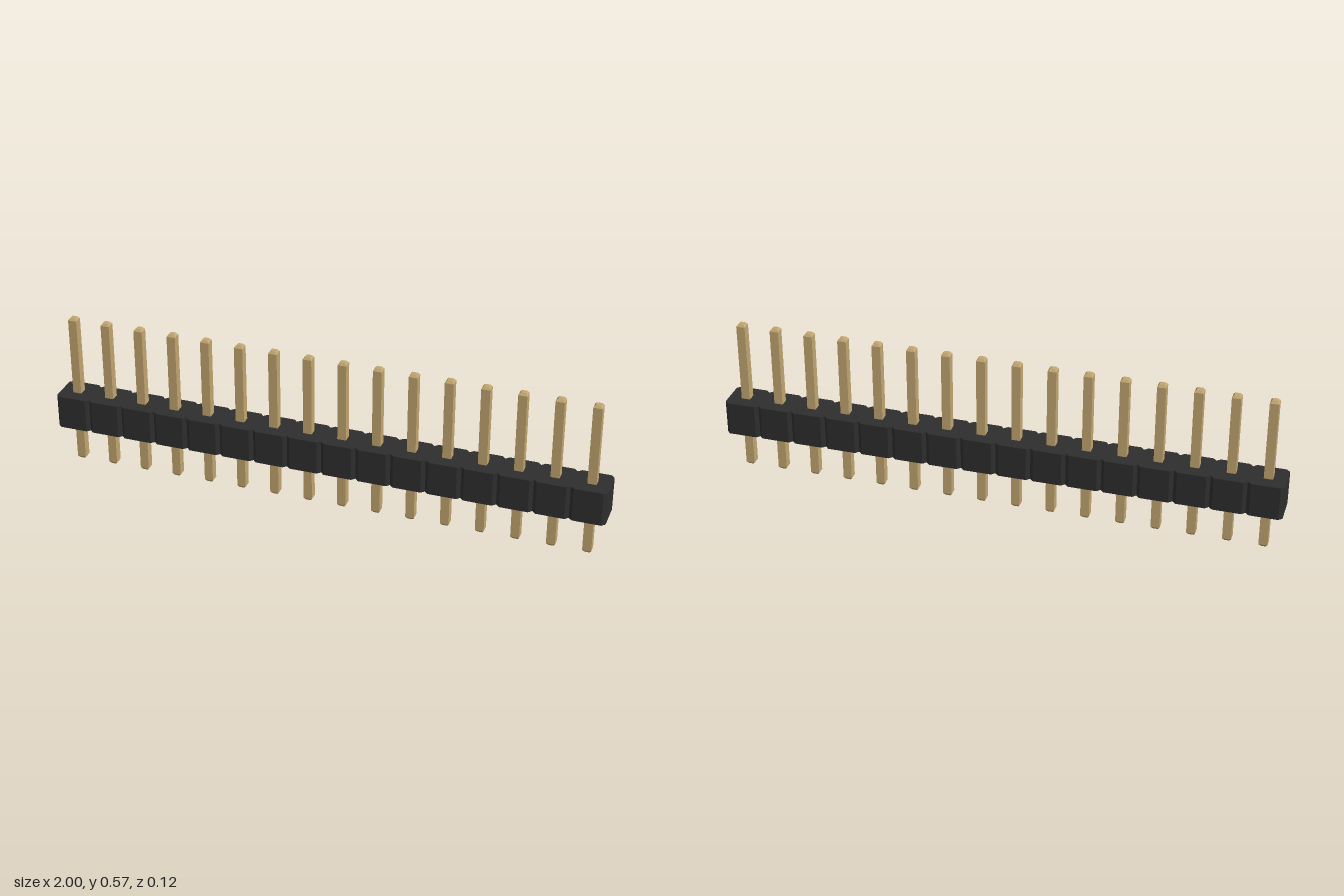
import * as THREE from 'three';
import { mergeVertices } from 'three/addons/utils/BufferGeometryUtils.js';

const COUNT = 16, PITCH = 0.125;
const BODY_BOTTOM = 0.149, BODY_HEIGHT = 0.124, HALF_DEPTH = 0.0625, CHAMFER = 0.0125;
const PIN_HEIGHT = 0.57, PIN_HALF = 0.0156, TIP_HALF = 0.009, TIP_HEIGHT = 0.009;

// One strip outline with a V notch between neighbouring cells
function bodyGeometry() {
  const front = [], back = [];
  for (let i = 0; i < COUNT; i++) {
    const x0 = -1 + i * PITCH, x1 = x0 + PITCH;
    for (const [x, z] of [
      [x0, HALF_DEPTH - CHAMFER], [x0 + CHAMFER, HALF_DEPTH],
      [x1 - CHAMFER, HALF_DEPTH],
    ]) {
      front.push(new THREE.Vector2(x, -z));
      back.unshift(new THREE.Vector2(x, z));
    }
  }
  front.push(new THREE.Vector2(1, -HALF_DEPTH + CHAMFER));
  back.unshift(new THREE.Vector2(1, HALF_DEPTH - CHAMFER));
  const geometry = new THREE.ExtrudeGeometry(new THREE.Shape([...front, ...back]), {
    depth: BODY_HEIGHT, bevelEnabled: false,
  });
  geometry.rotateX(-Math.PI / 2);
  geometry.translate(0, BODY_BOTTOM, 0);
  return geometry;
}

// Square pin with a tapered tip at each end
function pinGeometry() {
  const r = Math.SQRT2;
  const profile = [
    [0, 0], [TIP_HALF * r, 0], [PIN_HALF * r, TIP_HEIGHT],
    [PIN_HALF * r, PIN_HEIGHT - TIP_HEIGHT], [TIP_HALF * r, PIN_HEIGHT], [0, PIN_HEIGHT],
  ].map(([x, y]) => new THREE.Vector2(x, y));
  const geometry = new THREE.LatheGeometry(profile, 4, Math.PI / 4).toNonIndexed();
  geometry.computeVertexNormals();
  return mergeVertices(geometry);
}

export function createModel() {
  const plastic = new THREE.MeshStandardMaterial({ color: 0x2e2e2e });
  plastic.name = 'black plastic';
  const metal = new THREE.MeshStandardMaterial({ color: 0xc2a670 });
  metal.name = 'gold plating';

  const model = new THREE.Group();
  model.name = 'pinHeader';

  const body = new THREE.Mesh(bodyGeometry(), plastic);
  body.name = 'housing';
  model.add(body);

  // Row of pins, one through the centre of each cell
  const pins = new THREE.Group();
  pins.name = 'pins';
  const geometry = pinGeometry();
  for (let i = 0; i < COUNT; i++) {
    const pin = new THREE.Mesh(geometry, metal);
    pin.name = `pin${i + 1}`;
    pin.position.x = -1 + (i + 0.5) * PITCH;
    pins.add(pin);
  }
  model.add(pins);
  return model;
}
